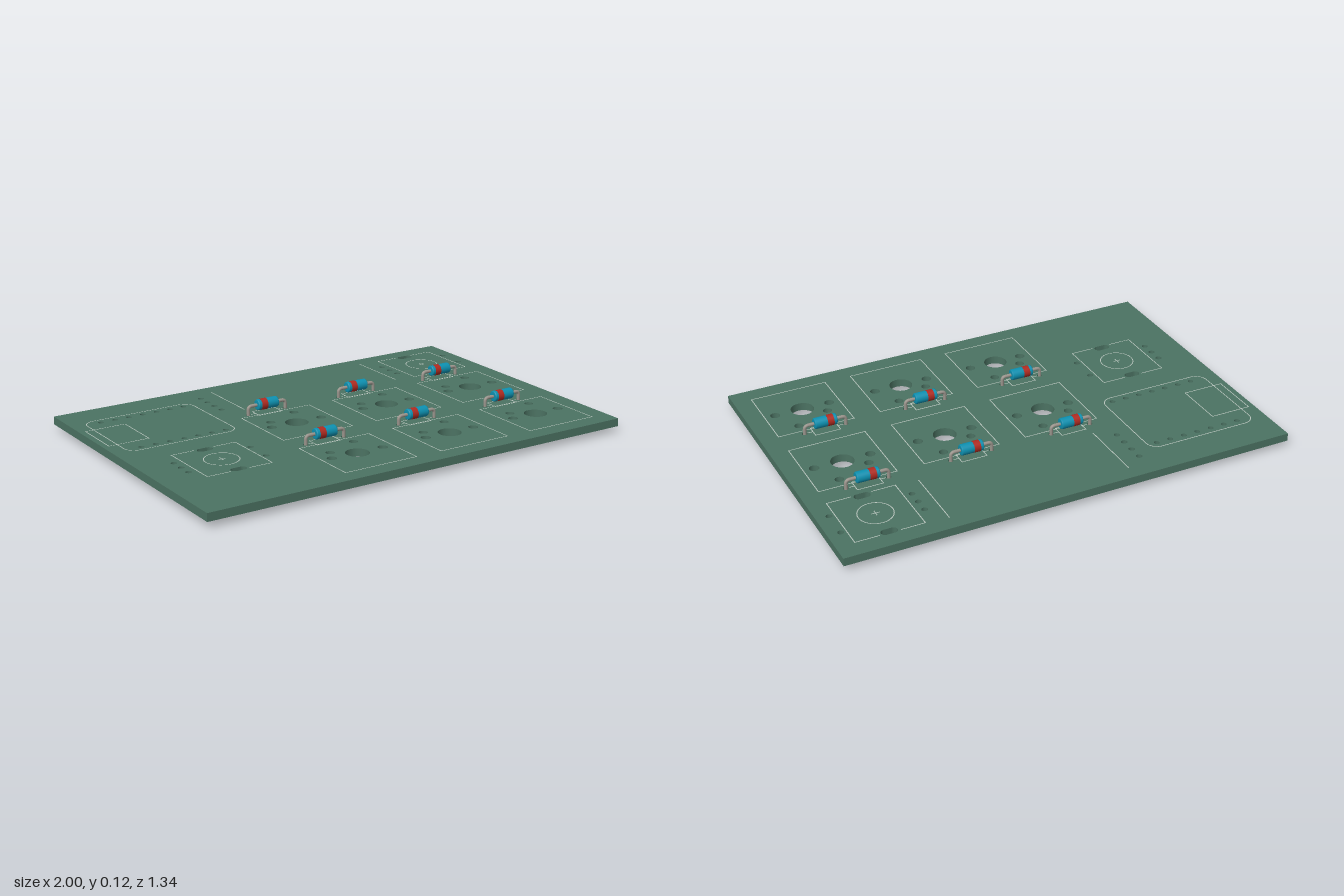
import * as THREE from 'three';
import { mergeGeometries } from 'three/addons/utils/BufferGeometryUtils.js';

const HALF_W = 1, HALF_D = 0.67, BOTTOM = 0.027, TOP = 0.062;
const COLS = [-0.172, 0.29, 0.75], ROWS = [-0.037, 0.423];
const ENCODERS = [[0.775, -0.445], [-0.666, 0.19]];
const DIODE_DX = -0.03, DIODE_DZ = -0.195, LEAD = 0.0925;

const mat = (color, extra = {}) => new THREE.MeshStandardMaterial({ color, ...extra });
const flat = (geo, y) => geo.rotateX(-Math.PI / 2).translate(0, y, 0);

function mesh(name, geo, material) {
  const m = new THREE.Mesh(geo, material);
  m.name = name;
  return m;
}

// Round hole, or a slot when halfLength > 0; z is flipped into shape space
function hole(x, z, r, halfLength = 0) {
  const p = new THREE.Path();
  p.absarc(x + halfLength, -z, r, -Math.PI / 2, Math.PI / 2, false);
  p.absarc(x - halfLength, -z, r, Math.PI / 2, Math.PI * 1.5, false);
  p.closePath();
  return p;
}

function eachSwitch(fn) {
  for (const z of ROWS) for (const x of COLS) fn(x, z);
}

function boardHoles() {
  const holes = [];
  const add = (...a) => holes.push(hole(...a));
  eachSwitch((x, z) => {
    add(x, z, 0.05);
    for (const s of [-1, 1]) {
      add(x + s * 0.123, z, 0.021);
      add(x + DIODE_DX + s * LEAD, z + DIODE_DZ, 0.011);
    }
    add(x - 0.092, z - 0.06, 0.019);
    add(x + 0.062, z - 0.122, 0.019);
  });
  for (const [x, z] of ENCODERS) {
    for (const s of [-1, 1]) {
      add(x, z + s * 0.136, 0.018, 0.017);
      add(x + 0.17, z + s * 0.061, 0.013);
    }
    for (const s of [-1, 0, 1]) add(x - 0.182, z + s * 0.061, 0.013);
  }
  // Controller pin rows and display header
  for (let i = 0; i < 7; i++) for (const z of [-0.487, -0.115]) add(-0.866 + i * 0.0658, z, 0.012);
  for (let i = 0; i < 4; i++) add(-0.353, -0.545 + i * 0.0615, 0.013);
  return holes;
}

function makeBoard() {
  const s = new THREE.Shape([[-1, -1], [1, -1], [1, 1], [-1, 1]]
    .map(([x, y]) => new THREE.Vector2(x * HALF_W, y * HALF_D)));
  s.holes = boardHoles();
  const geo = new THREE.ExtrudeGeometry(s, { depth: TOP - BOTTOM, bevelEnabled: false, curveSegments: 14 });
  return mesh('circuitBoard', flat(geo, BOTTOM), mat(0x4b7262));
}

// Thin printed outlines lying on the board
function makePrint() {
  const parts = [], w = 0.004, y = TOP + 0.0006;
  const line = (x1, z1, x2, z2) => {
    const g = new THREE.PlaneGeometry(Math.abs(x2 - x1) + w, Math.abs(z2 - z1) + w);
    parts.push(flat(g, y).translate((x1 + x2) / 2, 0, (z1 + z2) / 2));
  };
  const rect = (x, z, hx, hz) => {
    for (const s of [-1, 1]) {
      line(x - hx, z + s * hz, x + hx, z + s * hz);
      line(x + s * hx, z - hz, x + s * hx, z + hz);
    }
  };
  const arc = (x, z, r, start, len) => parts.push(
    flat(new THREE.RingGeometry(r - w / 2, r + w / 2, 32, 1, start, len), y).translate(x, 0, z));

  eachSwitch((x, z) => {
    rect(x, z, 0.17, 0.17);
    const dx = x + DIODE_DX, dz = z + DIODE_DZ;
    rect(dx, dz, 0.056, 0.031);
    for (const s of [-1, 1]) line(dx + s * 0.056, dz, dx + s * 0.078, dz);
  });
  for (const [x, z] of ENCODERS) {
    arc(x, z, 0.073, 0, Math.PI * 2);
    line(x - 0.015, z, x + 0.015, z);
    line(x, z - 0.015, x, z + 0.015);
    for (const s of [-1, 1]) {
      line(x + s * 0.147, z - 0.147, x + s * 0.147, z + 0.147);
      for (const t of [-1, 1]) line(x + t * 0.045, z + s * 0.147, x + t * 0.147, z + s * 0.147);
    }
  }
  // Controller outline with rounded corners, and its connector
  const cx = -0.682, cz = -0.302, hx = 0.254, hz = 0.218, r = 0.05;
  for (const s of [-1, 1]) {
    line(cx - hx + r, cz + s * hz, cx + hx - r, cz + s * hz);
    line(cx + s * hx, cz - hz + r, cx + s * hx, cz + hz - r);
  }
  [[1, -1], [-1, -1], [-1, 1], [1, 1]].forEach(([sx, sz], i) =>
    arc(cx + sx * (hx - r), cz + sz * (hz - r), r, i * Math.PI / 2, Math.PI / 2));
  rect(-0.882, -0.303, 0.091, 0.11);
  // Display side limits
  for (const x of [-0.27, 0.53]) line(x, -0.6, x, -0.307);
  return mesh('printedOutlines', mergeGeometries(parts), mat(0xb8c4bc, { side: THREE.DoubleSide }));
}

// Bent wire through the board on both sides of the body
function leadGeometry() {
  const h = 0.1, b = 0.016, v = (x, y) => new THREE.Vector3(x, y, 0);
  const path = new THREE.CurvePath();
  path.add(new THREE.LineCurve3(v(-LEAD, 0), v(-LEAD, h - b)));
  path.add(new THREE.QuadraticBezierCurve3(v(-LEAD, h - b), v(-LEAD, h), v(-LEAD + b, h)));
  path.add(new THREE.LineCurve3(v(-LEAD + b, h), v(LEAD - b, h)));
  path.add(new THREE.QuadraticBezierCurve3(v(LEAD - b, h), v(LEAD, h), v(LEAD, h - b)));
  path.add(new THREE.LineCurve3(v(LEAD, h - b), v(LEAD, 0)));
  const caps = [-1, 1].map(s => new THREE.CircleGeometry(0.0075, 10)
    .rotateX(Math.PI / 2).translate(s * LEAD, 0, 0));
  return mergeGeometries([new THREE.TubeGeometry(path, 70, 0.0075, 10), ...caps]);
}

function bodyGeometry() {
  const R = 0.024, L = 0.05, c = 0.005;
  const pts = [[0, -L], [R - c, -L], [R - c * 0.3, -L + c * 0.3], [R, -L + c],
    [R, L - c], [R - c * 0.3, L - c * 0.3], [R - c, L], [0, L]];
  return new THREE.LatheGeometry(pts.map(p => new THREE.Vector2(...p)), 24).rotateZ(-Math.PI / 2);
}

export function createModel() {
  const model = new THREE.Group();
  model.name = 'macroPadBoard';
  model.add(makeBoard(), makePrint());

  const lead = leadGeometry(), body = bodyGeometry();
  const band = new THREE.CylinderGeometry(0.0246, 0.0246, 0.029, 24).rotateZ(Math.PI / 2);
  const metal = mat(0x9a948c), blue = mat(0x0d90b0), red = mat(0xb02a20);
  eachSwitch((x, z) => {
    const d = new THREE.Group();
    d.name = 'diode';
    const b = mesh('diodeBody', body, blue), k = mesh('cathodeBand', band, red);
    b.position.y = 0.1;
    k.position.set(-0.02, 0.1, 0);
    d.add(mesh('diodeLeads', lead, metal), b, k);
    d.position.set(x + DIODE_DX, 0, z + DIODE_DZ);
    model.add(d);
  });
  return model;
}
